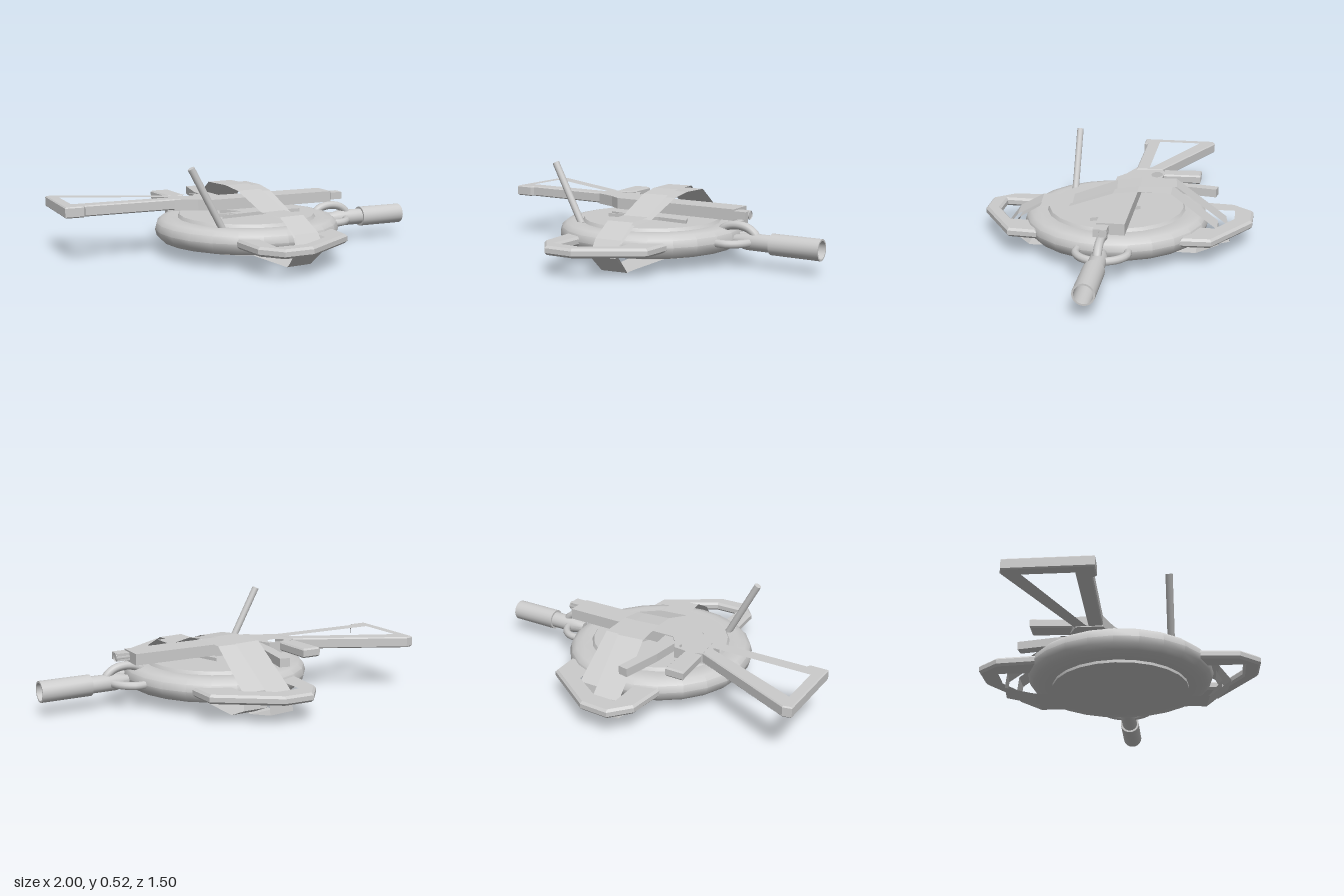
import * as THREE from 'three';
import { toCreasedNormals } from 'three/addons/utils/BufferGeometryUtils.js';

const grey = new THREE.MeshStandardMaterial({ color: 0xcccccc });
const greyDouble = new THREE.MeshStandardMaterial({ color: 0xcccccc, side: THREE.DoubleSide });
const greyFlat = new THREE.MeshStandardMaterial({ color: 0xcccccc, side: THREE.DoubleSide, flatShading: true });

export function createModel() {
  const model = new THREE.Group();

  const add = (name, geometry, material = grey, parent = model) => {
    const mesh = new THREE.Mesh(geometry, material);
    mesh.name = name;
    parent.add(mesh);
    return mesh;
  };

  // Flat plate: outline and holes are [x, z] points, extruded from y0 to y1
  const plate = (outline, y0, y1, holes = [], bevel = 0) => {
    const toPoints = (list) => list.map(([x, z]) => new THREE.Vector2(x, -z));
    const shape = new THREE.Shape(toPoints(outline));
    holes.forEach((h) => shape.holes.push(new THREE.Path(toPoints(h))));
    const g = new THREE.ExtrudeGeometry(shape, {
      depth: y1 - y0 - 2 * bevel, bevelEnabled: bevel > 0,
      bevelThickness: bevel, bevelSize: bevel, bevelOffset: -bevel, bevelSegments: 1,
    });
    return g.rotateX(-Math.PI / 2).translate(0, y0 + bevel, 0);
  };

  // Straight rod between two points
  const rod = (a, b, r, sides = 12) => new THREE.TubeGeometry(
    new THREE.LineCurve3(new THREE.Vector3(...a), new THREE.Vector3(...b)), 1, r, sides);
  const curved = (pts, r) => new THREE.TubeGeometry(
    new THREE.CatmullRomCurve3(pts.map((p) => new THREE.Vector3(...p))), 20, r, 10);
  const lathe = (profile, sides) => toCreasedNormals(new THREE.LatheGeometry(
    profile.map(([r, y]) => new THREE.Vector2(r, y)), sides), 0.6);

  // Round body with rolled rim and raised face plates
  add('discBody', lathe([
    [0, 0.05], [0.37, 0.05], [0.37, 0.065], [0.43, 0.065], [0.47, 0.075], [0.495, 0.1],
    [0.505, 0.135], [0.495, 0.17], [0.47, 0.192], [0.43, 0.2], [0.38, 0.195],
    [0.37, 0.212], [0, 0.212],
  ], 24));

  // Raised jagged emblem-free ornament on the upper face
  add('faceOrnament', plate([
    [-0.22, 0.07], [-0.05, 0.05], [-0.14, -0.05], [0.02, -0.04], [0.06, -0.14], [0.1, -0.03],
    [0.25, 0.04], [0.28, 0.1], [0.1, 0.09], [-0.2, 0.13], [-0.09, 0.09],
  ], 0.205, 0.23));

  // Handle frames at the front and back
  for (const s of [-1, 1]) {
    const flip = (list) => list.map(([x, z]) => [x, z * s]);
    add(s > 0 ? 'frontHandle' : 'backHandle', plate(
      flip([[-0.26, 0.38], [-0.24, 0.64], [-0.15, 0.75], [0.01, 0.745], [0.32, 0.54], [0.33, 0.38]]),
      0.112, 0.16,
      [flip([[-0.14, 0.44], [-0.145, 0.66], [0.0, 0.66], [0.165, 0.555], [0.165, 0.44]])], 0.012));
  }

  // Straps: closed bands swept across x from a y-z loop
  const strap = (name, loop, cx, slope, width) => {
    const pos = [], index = [];
    for (const [z, y] of loop) {
      const x = cx + slope * z;
      pos.push(x - width / 2, y, z, x + width / 2, y, z - slope * width);
    }
    const n = loop.length;
    for (let i = 0; i < n; i++) {
      const a = 2 * i, b = 2 * ((i + 1) % n);
      index.push(a, b, a + 1, a + 1, b, b + 1);
    }
    const g = new THREE.BufferGeometry();
    g.setAttribute('position', new THREE.Float32BufferAttribute(pos, 3));
    g.setIndex(index);
    g.computeVertexNormals();
    add(name, g, greyFlat);
  };
  strap('angledStrap', [
    [0.48, 0.003], [0.6, 0.1], [0.54, 0.18], [0.41, 0.25], [0.24, 0.25], [0, 0.335], [-0.13, 0.35],
    [-0.32, 0.347], [-0.6, 0.13], [-0.61, 0.035], [-0.45, 0.003],
  ], 0.02, 0.115, 0.145);
  strap('straightStrap', [
    [0.47, 0.008], [0.55, 0.1], [0.52, 0.16], [0.4, 0.235], [0.24, 0.24], [0, 0.325], [-0.13, 0.342],
    [-0.31, 0.338], [-0.56, 0.15], [-0.57, 0.06], [-0.45, 0.008],
  ], 0.08, 0.01, 0.135);

  // Framed tool lying on top: open triangular stock, body, grip, curved arm and tip
  const tool = new THREE.Group();
  tool.name = 'topTool';
  model.add(tool);
  add('stockFrame', plate(
    [[-1, -0.475], [-0.955, -0.485], [-0.38, -0.21], [-0.36, -0.06], [-0.89, -0.06], [-0.9, -0.04], [-1, -0.04]],
    0.245, 0.303, [[[-0.95, -0.395], [-0.41, -0.155], [-0.39, -0.13], [-0.95, -0.13]]], 0.006), grey, tool);
  const oval = [];
  for (let i = 0; i < 16; i++) {
    const a = (i / 16) * Math.PI * 2;
    oval.push([-0.283 + 0.05 * Math.cos(a), -0.19 + 0.032 * Math.sin(a)]);
  }
  add('toolBody', plate([
    [-0.4, -0.2], [-0.33, -0.235], [-0.22, -0.225], [-0.19, -0.17], [-0.15, -0.12], [0.52, -0.12],
    [0.52, 0.025], [-0.21, 0.03], [-0.28, -0.015], [-0.4, -0.06],
  ], 0.24, 0.3, [oval]), grey, tool);
  add('toolGrip', plate([[-0.4, -0.44], [-0.295, -0.44], [-0.285, -0.225], [-0.38, -0.22]],
    0.25, 0.3, [], 0.008), grey, tool);
  add('toolArm', plate([
    [-0.2, -0.11], [-0.18, -0.33], [-0.14, -0.55], [-0.085, -0.54], [-0.12, -0.33], [-0.1, -0.11],
  ], 0.25, 0.295), grey, tool);
  add('toolTip', rod([0.5, 0.27, -0.02], [0.595, 0.27, -0.02], 0.022), greyDouble, tool);
  add('toolTipBlock', new THREE.BoxGeometry(0.07, 0.04, 0.07).translate(0.555, 0.272, -0.005), grey, tool);

  // Slanted peg on the upper face
  const pegStart = new THREE.Vector3(-0.27, 0.19, 0.285), pegEnd = new THREE.Vector3(-0.44, 0.51, 0.285);
  const peg = add('slantedPeg', new THREE.CylinderGeometry(0.019, 0.019, pegStart.distanceTo(pegEnd), 12));
  peg.position.copy(pegStart).add(pegEnd).multiplyScalar(0.5);
  peg.quaternion.setFromUnitVectors(new THREE.Vector3(0, 1, 0), pegEnd.clone().sub(pegStart).normalize());

  // Link rings joining the handle tube to the body
  add('flatLink', curved([[0.46, 0.135, -0.13], [0.53, 0.135, -0.13], [0.59, 0.135, -0.085], [0.62, 0.135, 0],
    [0.59, 0.135, 0.085], [0.53, 0.135, 0.13], [0.46, 0.135, 0.13]], 0.021), greyDouble);
  add('uprightLink', curved([[0.42, 0.165, 0], [0.46, 0.2, 0], [0.53, 0.215, 0], [0.6, 0.2, 0],
    [0.64, 0.16, 0], [0.62, 0.12, 0]], 0.023), greyDouble);

  // Handle tube with a narrower neck and a hollow outer end
  const tube = add('handleTube', lathe([
    [0, 0.52], [0.03, 0.52], [0.045, 0.59], [0.045, 0.73], [0.056, 0.73], [0.056, 1.0],
    [0.047, 1.0], [0.047, 0.8], [0, 0.8],
  ], 20), greyDouble);
  tube.rotation.z = -Math.PI / 2;
  tube.position.y = 0.135;

  return model;
}
